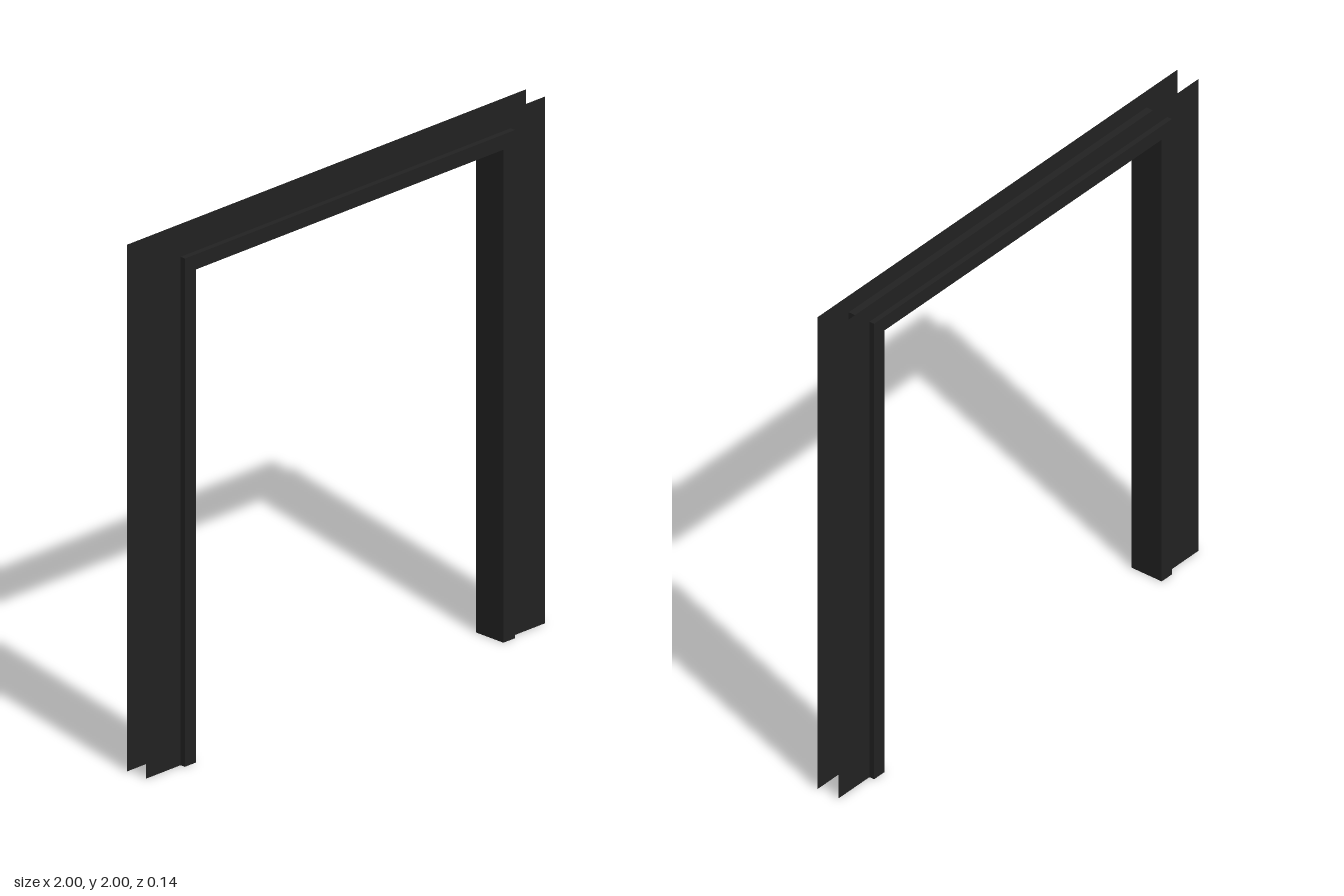
import * as THREE from 'three';

// Upside-down U outline, standing on y = 0
function archShape(outerX, outerY, innerX, innerY) {
  return new THREE.Shape([
    [-outerX, 0], [-innerX, 0], [-innerX, innerY], [innerX, innerY],
    [innerX, 0], [outerX, 0], [outerX, outerY], [-outerX, outerY],
  ].map(([x, y]) => new THREE.Vector2(x, y)));
}

export function createModel() {
  const group = new THREE.Group();
  group.name = 'doorFrame';

  const black = new THREE.MeshStandardMaterial({ color: 0x222222, side: THREE.DoubleSide });
  black.name = 'matte black';

  // Jamb: the solid lining of the opening
  const depth = 0.136;
  const jambGeometry = new THREE.ExtrudeGeometry(archShape(0.827, 1.93, 0.77, 1.872), {
    depth, bevelEnabled: false,
  });
  jambGeometry.translate(0, 0, -depth / 2);
  const jamb = new THREE.Mesh(jambGeometry, black);
  jamb.name = 'jamb';
  group.add(jamb);

  // Casings: flat sheets around the jamb, set in from its front and back
  for (const [name, side] of [['frontCasing', 1], ['backCasing', -1]]) {
    const geometry = new THREE.ShapeGeometry(archShape(1, 2, 0.827, 1.93));
    if (side < 0) geometry.rotateY(Math.PI);
    const casing = new THREE.Mesh(geometry, black);
    casing.name = name;
    casing.position.z = side * 0.047;
    group.add(casing);
  }

  return group;
}
